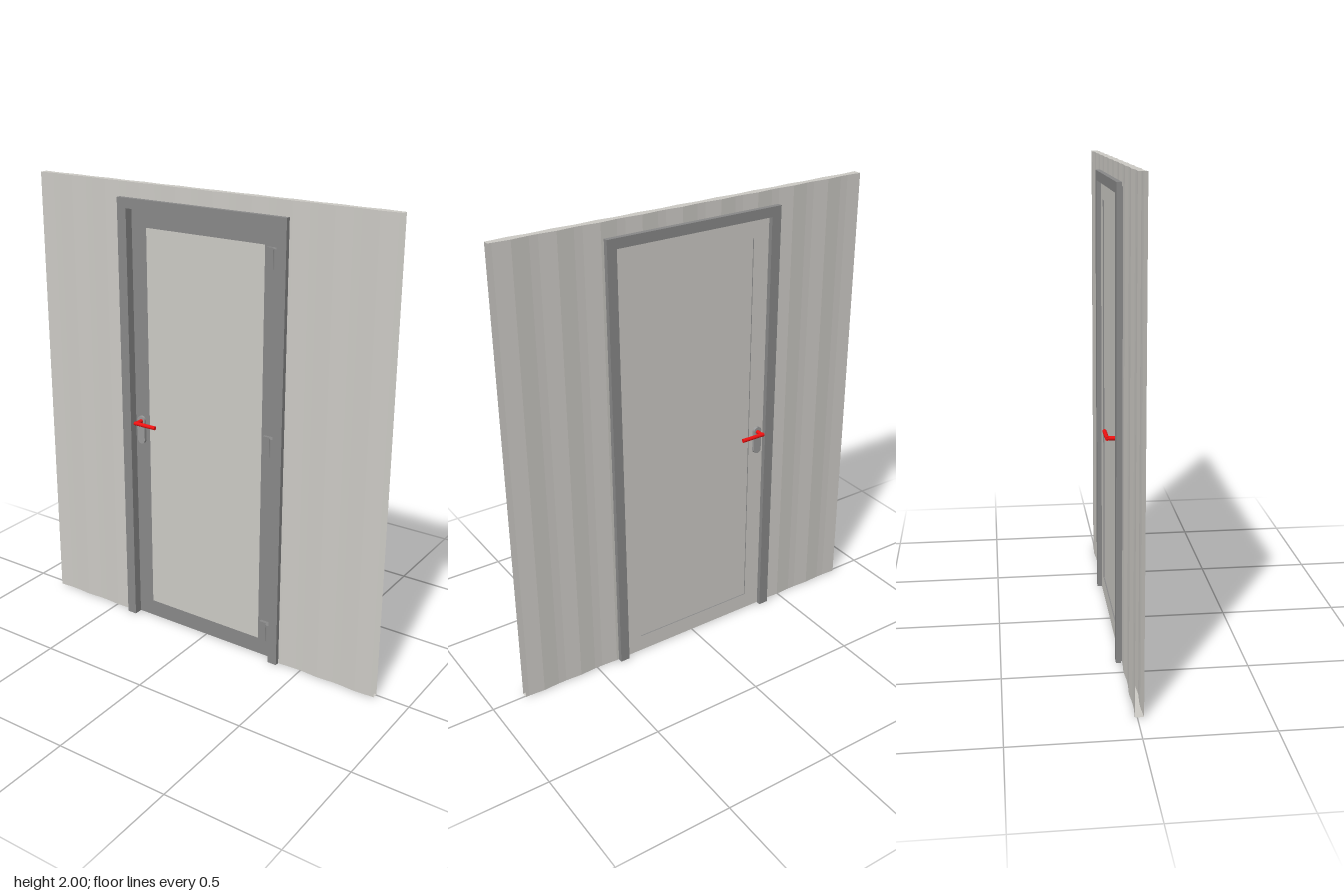
import * as THREE from 'three';

const mat = (color, side = THREE.FrontSide) => new THREE.MeshStandardMaterial({ color, side });

export function createModel() {
  const model = new THREE.Group();
  const light = mat(0xcccac5);
  const sheet = mat(0xcccac5, THREE.DoubleSide);
  const dark = mat(0x888888);
  const plateGrey = mat(0x999999);
  const red = mat(0xee1111);

  const add = (name, geometry, material, x = 0, y = 0, z = 0, parent = model) => {
    const mesh = new THREE.Mesh(geometry, material);
    mesh.name = name;
    mesh.position.set(x, y, z);
    parent.add(mesh);
    return mesh;
  };
  const rect = (C, x0, x1, y0, y1) => {
    const s = new C();
    s.moveTo(x0, y0); s.lineTo(x1, y0); s.lineTo(x1, y1); s.lineTo(x0, y1); s.closePath();
    return s;
  };
  const extrude = (shape, z0, z1) =>
    new THREE.ExtrudeGeometry(shape, { depth: z1 - z0, bevelEnabled: false, curveSegments: 10 }).translate(0, 0, z0);

  // Ribbed wall: two folded skins closed along top and bottom, hollow inside
  const period = 0.18, start = -0.929;
  const folds = [[0, 0], [0.072, 1], [0.144, 0]];
  const ribs = [];
  for (let k = 0; k < 12; k++) for (const [dx, h] of folds) ribs.push([start + k * period + dx, h]);
  const heightAt = (x) => {
    const i = Math.max(1, ribs.findIndex((r) => r[0] >= x));
    const [a, b] = [ribs[i - 1], ribs[i]];
    return a[1] + (b[1] - a[1]) * (x - a[0]) / (b[0] - a[0]);
  };
  const front = (x) => 0.021 + 0.005 * heightAt(x);
  const back = (x) => -0.005 - 0.005 * heightAt(x);
  const wallPiece = (name, x0, x1, y0, y1) => {
    const xs = [x0, ...ribs.map((r) => r[0]).filter((x) => x > x0 + 1e-4 && x < x1 - 1e-4), x1];
    const pos = [];
    const quad = (a, b, c, d) => pos.push(...a, ...b, ...c, ...a, ...c, ...d);
    for (let i = 0; i + 1 < xs.length; i++) {
      const a = xs[i], b = xs[i + 1];
      const [fa, fb, ba, bb] = [front(a), front(b), back(a), back(b)];
      quad([a, y0, fa], [b, y0, fb], [b, y1, fb], [a, y1, fa]);
      quad([b, y0, bb], [a, y0, ba], [a, y1, ba], [b, y1, bb]);
      quad([a, y1, fa], [b, y1, fb], [b, y1, bb], [a, y1, ba]);
      quad([a, y0, ba], [b, y0, bb], [b, y0, fb], [a, y0, fa]);
    }
    const g = new THREE.BufferGeometry();
    g.setAttribute('position', new THREE.Float32BufferAttribute(pos, 3));
    g.computeVertexNormals();
    add(name, g, sheet);
  };
  wallPiece('wallRight', -0.85, -0.405, 0, 2);
  wallPiece('wallLeft', 0.375, 0.85, 0, 2);
  wallPiece('wallAboveDoor', -0.405, 0.375, 1.918, 2);

  // Door frame: lining through the wall with a casing on each face
  const inner = { x0: -0.375, x1: 0.35, top: 1.895 };
  const portal = (x0, x1, top) => {
    const s = new THREE.Shape();
    [[x0, 0], [inner.x0, 0], [inner.x0, inner.top], [inner.x1, inner.top], [inner.x1, 0], [x1, 0], [x1, top], [x0, top]]
      .forEach(([x, y], i) => (i ? s.lineTo(x, y) : s.moveTo(x, y)));
    s.closePath();
    return s;
  };
  add('frameLining', extrude(portal(-0.406, 0.377, 1.92), -0.01, 0.027), dark);
  add('frontCasing', extrude(portal(-0.42, 0.392, 1.937), 0.026, 0.046), dark);
  add('backCasing', extrude(portal(-0.42, 0.392, 1.937), -0.031, -0.01), dark);

  // Leaf: dark border, light infill, and a light back sheet raised round the infill
  const ring = () => {
    const s = rect(THREE.Shape, inner.x0, inner.x1, 0.002, inner.top);
    s.holes.push(rect(THREE.Path, -0.3, 0.275, 0.077, 1.817));
    return s;
  };
  add('leafBorder', extrude(ring(), -0.006, 0.008), dark);
  add('leafBackSheet', extrude(ring(), -0.011, -0.006), [light, dark]);
  add('leafPanel', extrude(rect(THREE.Shape, -0.3, 0.275, 0.077, 1.817), -0.006, 0.008), light);

  // Hinges: a leaf plate beside a round knuckle
  for (const y of [0.133, 0.995, 1.772]) {
    const hinge = new THREE.Group();
    hinge.name = 'hinge';
    hinge.position.set(0, y, 0);
    model.add(hinge);
    add('hingePlate', new THREE.BoxGeometry(0.045, 0.08, 0.014), dark, 0.312, 0, 0.015, hinge);
    add('hingeKnuckle', new THREE.CylinderGeometry(0.016, 0.016, 0.08, 20), dark, 0.339, 0, 0.022, hinge);
  }

  // Handles: rounded backplate with a bent lever on each face
  const handle = (name, dir, leverY, faceZ) => {
    const group = new THREE.Group();
    group.name = name;
    model.add(group);
    const x = -0.34, r = 0.019, top = leverY + 0.002, low = leverY - 0.088;
    const s = new THREE.Shape();
    s.absarc(x, top, r, 0, Math.PI);
    s.absarc(x, low, r, Math.PI, Math.PI * 2);
    s.closePath();
    const z = [faceZ, faceZ + dir * 0.012].sort((a, b) => a - b);
    add('backplate', extrude(s, z[0], z[1]), plateGrey, 0, 0, 0, group);
    const tip = dir * 0.058, rod = 0.0085;
    const neck = Math.abs(tip - faceZ);
    add('leverNeck', new THREE.CylinderGeometry(rod, rod, neck, 16).rotateX(Math.PI / 2), red,
      -0.337, leverY, (tip + faceZ) / 2, group);
    add('leverElbow', new THREE.SphereGeometry(rod, 16, 12), red, -0.337, leverY, tip, group);
    add('leverGrip', new THREE.CylinderGeometry(rod, rod, 0.11, 16).rotateZ(Math.PI / 2), red,
      -0.289, leverY, tip, group);
  };
  handle('frontHandle', 1, 0.965, 0.008);
  handle('backHandle', -1, 0.935, -0.011);

  return model;
}
